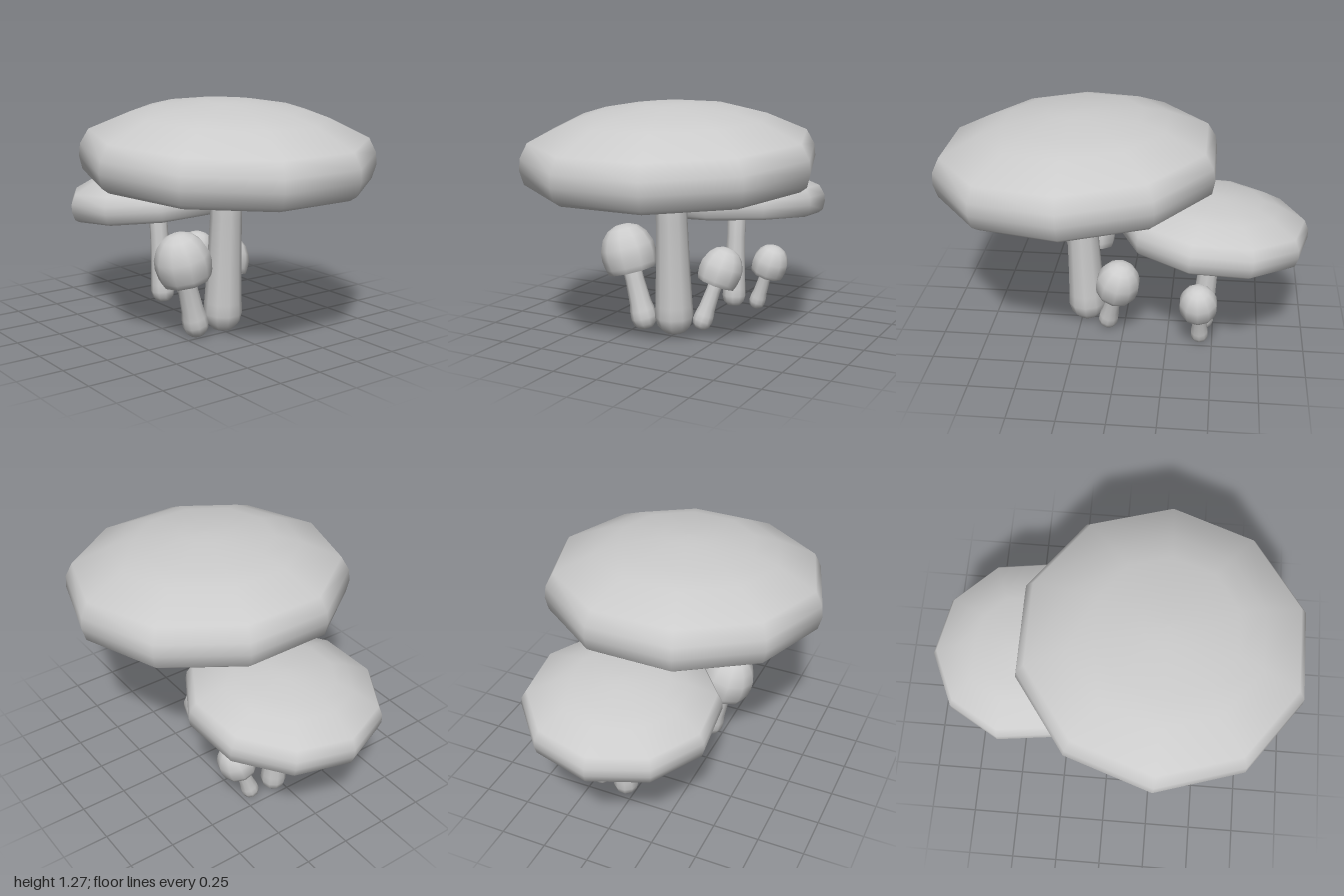
import * as THREE from 'three';

const material = new THREE.MeshStandardMaterial({ color: 0xcccccc });
const SIDES = 10;
const UP = new THREE.Vector3(0, 1, 0);

// Hollow cap profiles: down the inside, around the rim, up the outside
const FLAT_CAP = [
  [0, 0.302], [0.34, 0.285], [0.54, 0.235], [0.645, 0.15], [0.688, 0.065], [0.696, 0.018], [0.708, 0],
  [0.725, 0.002], [0.762, 0.028], [0.781, 0.1], [0.775, 0.165], [0.733, 0.243],
  [0.52, 0.34], [0.38, 0.38], [0.14, 0.414], [0, 0.416],
];
const ROUND_CAP = [
  [0, 0.19], [0.07, 0.175], [0.11, 0.13], [0.125, 0.07], [0.122, 0.012], [0.126, 0],
  [0.134, 0], [0.144, 0.03], [0.152, 0.085], [0.147, 0.135], [0.122, 0.195],
  [0.085, 0.235], [0.04, 0.255], [0, 0.258],
];

function lathe(name, profile, position, axis, spin) {
  const points = profile.map(([r, y]) => new THREE.Vector2(r, y));
  const geometry = new THREE.LatheGeometry(points, SIDES);
  geometry.rotateY(spin);
  const mesh = new THREE.Mesh(geometry, material);
  mesh.name = name;
  mesh.position.set(...position);
  mesh.quaternion.setFromUnitVectors(UP, new THREE.Vector3(...axis).normalize());
  return mesh;
}

// Stem: rounded swollen foot narrowing to a straight neck
function stemProfile(foot, neck, length) {
  return [
    [0, 0], [foot * 0.55, foot * 0.06], [foot * 0.87, foot * 0.4], [foot, foot * 0.9],
    [foot * 0.96, foot * 1.5], [neck + (foot - neck) * 0.4, length * 0.3],
    [neck, length * 0.55], [neck, length], [0, length],
  ];
}

function mushroom({ name, base, lean, foot, neck, length, cap, scale, capAt, capAxis, spin }) {
  const group = new THREE.Group();
  group.name = name;
  group.add(lathe('stem', stemProfile(foot, neck, length), base, lean, Math.PI / SIDES));
  const profile = cap.map(([r, y]) => [r * scale, y * scale]);
  group.add(lathe('cap', profile, capAt, capAxis ?? lean, spin ?? Math.PI / SIDES));
  return group;
}

export function createModel() {
  const model = new THREE.Group();
  model.name = 'mushroomCluster';
  const mushrooms = [
    // Two tall mushrooms with broad flat caps
    {
      name: 'largeMushroom', base: [0, 0.012, 0.215], lean: [0, 1, 0.047],
      foot: 0.106, neck: 0.085, length: 1.14,
      cap: FLAT_CAP, scale: 1, capAt: [0, 0.847, 0.252], capAxis: [0, 1, 0.055],
    },
    {
      name: 'rearMushroom', base: [0.05, 0, -0.432], lean: [-0.01, 1, -0.085],
      foot: 0.07, neck: 0.054, length: 0.76,
      cap: FLAT_CAP, scale: 0.667, capAt: [0.042, 0.555, -0.475], capAxis: [-0.06, 1, -0.09],
      spin: Math.PI / SIDES - 0.216,
    },
    // Three young mushrooms with round caps
    {
      name: 'rightYoungMushroom', base: [-0.17, 0.012, 0.225], lean: [-0.26, 1, 0.02],
      foot: 0.071, neck: 0.052, length: 0.51,
      cap: ROUND_CAP, scale: 1, capAt: [-0.25, 0.336, 0.233],
    },
    {
      name: 'leftYoungMushroom', base: [0.092, 0.012, 0.098], lean: [0.28, 1, -0.23],
      foot: 0.056, neck: 0.04, length: 0.41,
      cap: ROUND_CAP, scale: 0.8, capAt: [0.163, 0.263, 0.04],
    },
    {
      name: 'rearYoungMushroom', base: [0.19, 0.008, -0.432], lean: [0.33, 1, 0.03],
      foot: 0.049, neck: 0.036, length: 0.345,
      cap: ROUND_CAP, scale: 0.69, capAt: [0.265, 0.224, -0.422],
    },
  ];
  mushrooms.forEach((m) => model.add(mushroom(m)));
  return model;
}
